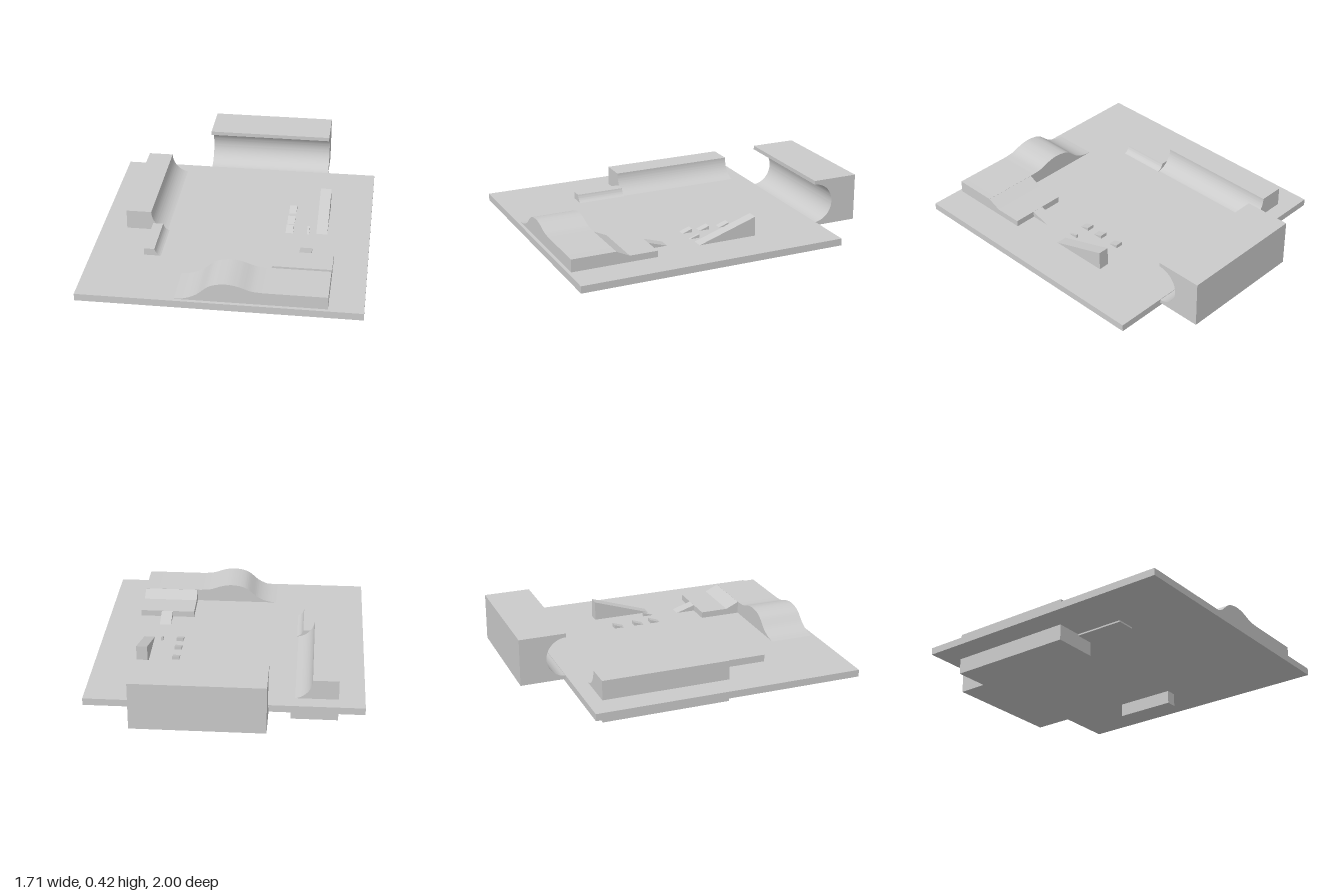
import * as THREE from 'three';
import { toCreasedNormals } from 'three/addons/utils/BufferGeometryUtils.js';

const material = new THREE.MeshStandardMaterial({ color: 0xcccccc });
const DECK = 0.145; // top of the deck
const SUNK = 0.12; // hidden foot level inside the deck

// Shape from corner points
const polygon = (points) => new THREE.Shape(points.map(([a, b]) => new THREE.Vector2(a, b)));

function extrude(shape, depth) {
  return new THREE.ExtrudeGeometry(shape, { depth, bevelEnabled: false, curveSegments: 24 });
}

export function createModel() {
  const model = new THREE.Group();

  const add = (name, geometry) => {
    const mesh = new THREE.Mesh(toCreasedNormals(geometry, 0.35), material);
    mesh.name = name;
    model.add(mesh);
  };
  // Profile in (x, y), swept from z0 to z1
  const alongZ = (name, shape, z0, z1) => add(name, extrude(shape, z1 - z0).translate(0, 0, z0));
  // Profile in (z, y), swept from x0 to x1
  const alongX = (name, shape, x0, x1) =>
    add(name, extrude(shape, x1 - x0).rotateY(-Math.PI / 2).translate(x1, 0, 0));
  const box = (name, x0, x1, y0, y1, z0, z1) =>
    add(name, new THREE.BoxGeometry(x1 - x0, y1 - y0, z1 - z0)
      .translate((x0 + x1) / 2, (y0 + y1) / 2, (z0 + z1) / 2));

  // Deck
  box('deck', -0.855, 0.855, 0.1, DECK, -0.715, 1);

  // Half pipe overhanging the back edge
  const half = new THREE.Shape();
  half.moveTo(-0.71, SUNK);
  half.lineTo(-0.71, 0.141);
  half.absarc(-0.705, 0.268, 0.127, -Math.PI / 2, -Math.PI * 1.5, true);
  half.lineTo(-0.705, 0.42);
  half.lineTo(-1, 0.42);
  half.lineTo(-1, SUNK);
  alongX('halfPipe', half, -0.275, 0.535);

  // Large quarter pipe, its block reaching below the deck
  const quarter = new THREE.Shape();
  quarter.moveTo(-0.695, 0);
  quarter.lineTo(-0.405, 0);
  quarter.lineTo(-0.405, 0.143);
  quarter.absarc(-0.408, 0.27, 0.127, -Math.PI / 2, -Math.PI, true);
  quarter.lineTo(-0.695, 0.27);
  alongZ('quarterPipe', quarter, -0.62, 0.195);

  // Small quarter pipe beside it
  const small = new THREE.Shape();
  small.moveTo(-0.525, 0.09);
  small.lineTo(-0.405, 0.09);
  small.lineTo(-0.405, 0.142);
  small.quadraticCurveTo(-0.448, 0.146, -0.46, 0.19);
  small.lineTo(-0.525, 0.19);
  alongZ('smallQuarterPipe', small, 0.195, 0.51);

  // Long wedge ramp, also reaching below the deck
  alongX('wedgeRamp', polygon([[-0.255, 0.015], [0.13, 0.015], [0.13, 0.143], [-0.255, 0.27]]), 0.515, 0.585);

  // Small kicker ramps
  const kicker = (x0, x1, z) => alongX('kicker',
    polygon([[z, SUNK], [z + 0.066, SUNK], [z + 0.066, DECK], [z, 0.168]]), x0, x1);
  for (const z of [-0.185, -0.047, 0.07]) kicker(0.32, 0.367, z);
  kicker(0.455, 0.47, 0.07);

  // Wave running into a flat platform
  const wave = new THREE.Shape();
  wave.moveTo(-0.28, SUNK);
  wave.lineTo(-0.28, 0.143);
  wave.splineThru([[-0.2, 0.154], [-0.13, 0.184], [-0.05, 0.247], [0.035, 0.267], [0.11, 0.259],
    [0.19, 0.233], [0.25, 0.226], [0.29, 0.225]].map(([x, y]) => new THREE.Vector2(x, y)));
  wave.lineTo(0.645, 0.225);
  wave.lineTo(0.645, SUNK);
  alongZ('wave', wave, 0.695, 0.978);

  // Lower platform behind, joined by a bank
  alongX('bankedPlatform', polygon([[0.43, SUNK], [0.697, SUNK], [0.697, 0.225], [0.61, 0.185], [0.43, 0.185]]),
    0.285, 0.645);

  // Narrow ramp down to the deck
  alongX('narrowRamp', polygon([[0.305, SUNK], [0.432, SUNK], [0.432, 0.185], [0.305, DECK]]), 0.43, 0.505);

  return model;
}
